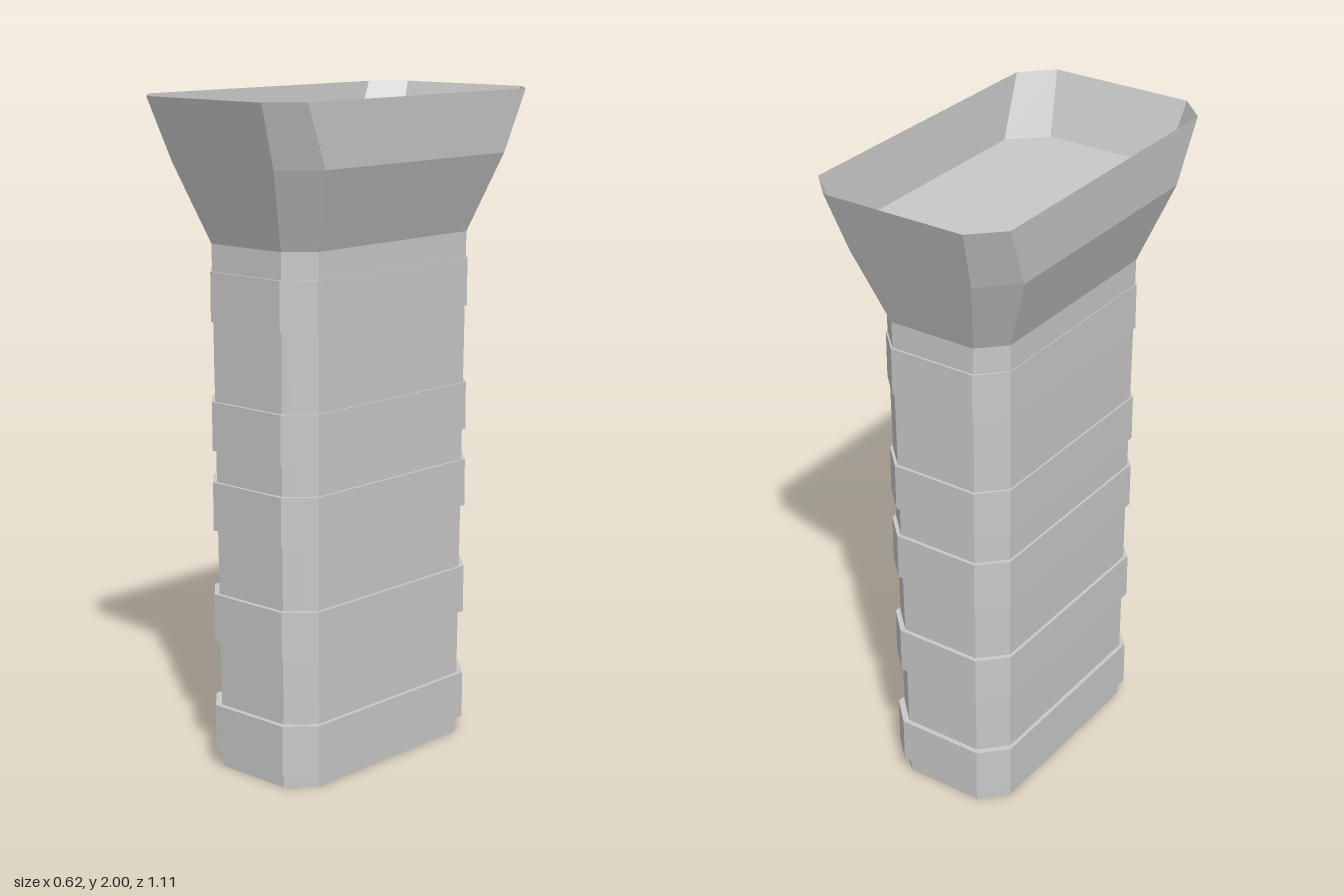
import * as THREE from 'three';

const grey = new THREE.MeshStandardMaterial({ color: 0xc8c8c8, side: THREE.DoubleSide, flatShading: true });
grey.name = 'plain grey';

// Chamfered rectangle: half width x, half depth z, chamfer c, at height y
function ring([y, x, z, c]) {
  return [[x, z - c], [x - c, z], [c - x, z], [-x, z - c], [-x, c - z], [c - x, -z], [x - c, -z], [x, c - z]]
    .map(([px, pz]) => new THREE.Vector3(px, y, pz));
}

// Flat-sided skin through a list of rings, with optional end caps
function loft(name, sections, capBottom = false, capTop = false) {
  const rings = sections.map(ring);
  const pos = [];
  const tri = (...points) => points.forEach((p) => pos.push(p.x, p.y, p.z));
  for (let i = 0; i + 1 < rings.length; i++) {
    const lower = rings[i], upper = rings[i + 1];
    for (let k = 0; k < 8; k++) {
      const n = (k + 1) % 8;
      tri(lower[k], upper[n], lower[n]);
      tri(lower[k], upper[k], upper[n]);
    }
  }
  const first = rings[0], last = rings[rings.length - 1];
  for (let k = 1; k < 7; k++) {
    if (capBottom) tri(first[0], first[k], first[k + 1]);
    if (capTop) tri(last[0], last[k + 1], last[k]);
  }
  // Turn the winding so that the skin faces outwards
  for (let i = 0; i < pos.length; i += 9) {
    for (let j = 0; j < 3; j++) [pos[i + 3 + j], pos[i + 6 + j]] = [pos[i + 6 + j], pos[i + 3 + j]];
  }
  const geometry = new THREE.BufferGeometry();
  geometry.setAttribute('position', new THREE.Float32BufferAttribute(pos, 3));
  geometry.computeVertexNormals();
  const mesh = new THREE.Mesh(geometry, grey);
  mesh.name = name;
  return mesh;
}

export function createModel() {
  const model = new THREE.Group();
  model.name = 'flaredColumn';

  // Slightly tapered shaft
  const foot = [0, 0.199, 0.386, 0.073];
  const neck = [1.58, 0.211, 0.397, 0.073];
  const shaftAt = (y) => foot.map((v, i) => (i === 0 ? y : v + (neck[i] - v) * (y / 1.58)));
  model.add(loft('shaft', [foot, neck], true));

  // Raised bands around the shaft
  const bands = [[0.05, 0.195], [0.395, 0.54], [0.735, 0.88], [0.975, 1.12], [1.355, 1.5]];
  bands.forEach(([low, high], i) => {
    model.add(loft(`band${i + 1}`, [
      shaftAt(low), [low, 0.213, 0.403, 0.075], [high, 0.213, 0.403, 0.075], shaftAt(high),
    ]));
  });

  // Flared head, open above a recessed floor
  const waist = [1.815, 0.3, 0.487, 0.1];
  model.add(loft('flareLower', [neck, waist], false, true));
  model.add(loft('flareRim', [waist, [2, 0.312, 0.557, 0.087]]));

  return model;
}
